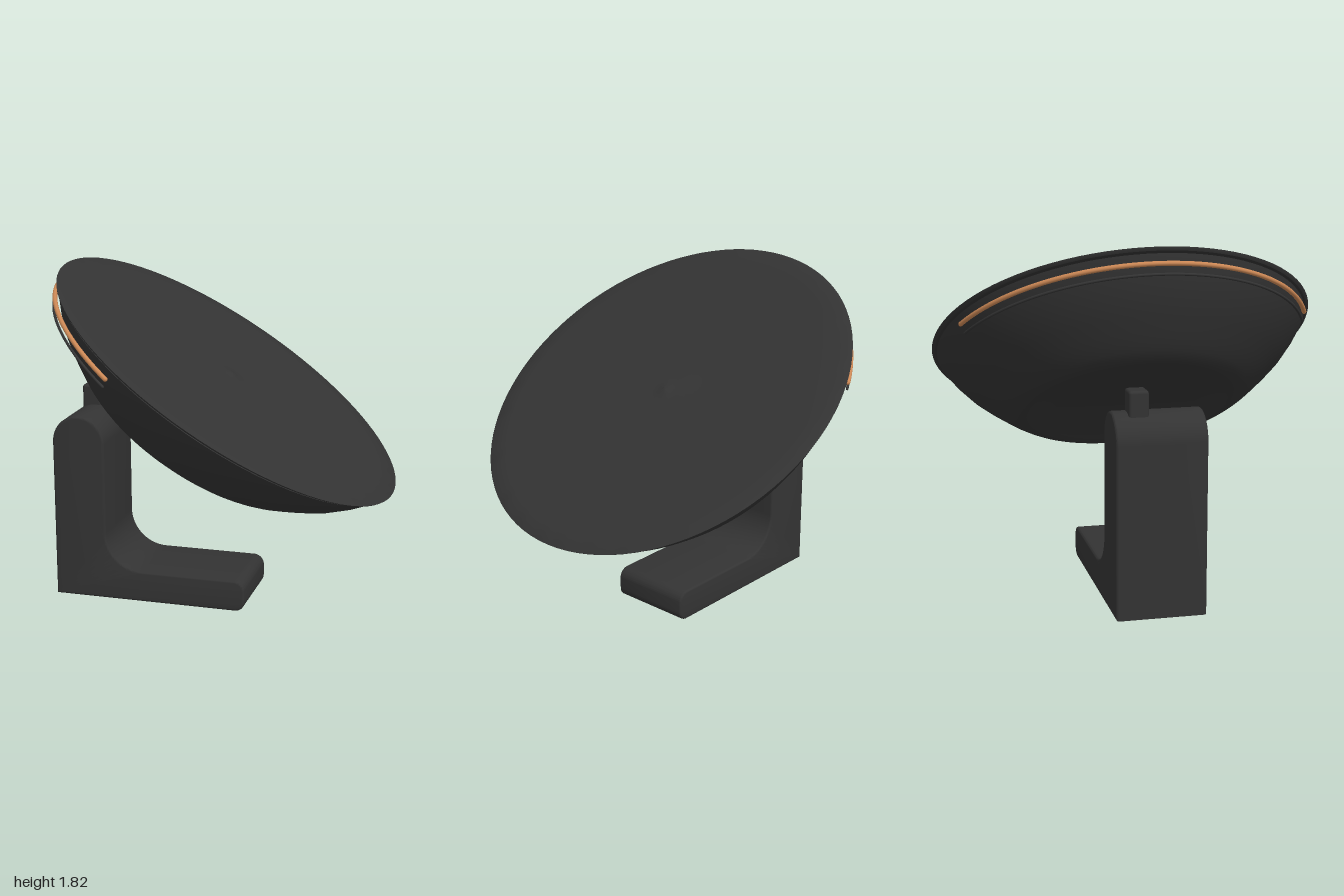
import * as THREE from 'three';
import { toCreasedNormals } from 'three/addons/utils/BufferGeometryUtils.js';
import { RoundedBoxGeometry } from 'three/addons/geometries/RoundedBoxGeometry.js';

export function createModel() {
  const charcoal = new THREE.MeshStandardMaterial({ color: 0x333333 });
  charcoal.name = 'charcoal';
  const copper = new THREE.MeshStandardMaterial({ color: 0xcc8855 });
  copper.name = 'copper';

  const model = new THREE.Group();
  model.name = 'dishOnStand';

  const add = (parent, name, geometry, material) => {
    const mesh = new THREE.Mesh(geometry, material);
    mesh.name = name;
    parent.add(mesh);
    return mesh;
  };
  const lathe = (points) => toCreasedNormals(
    new THREE.LatheGeometry(points.map(([r, y]) => new THREE.Vector2(r, y)), 96), 0.6);

  // Tilted dish, slightly longer along the slope than across it
  const dish = new THREE.Group();
  dish.name = 'dish';
  dish.position.set(0.024, 1.2415, 0);
  dish.rotation.z = -0.578;
  dish.scale.set(1.056, 1, 1);
  model.add(dish);

  // Thin lid with a small raised centre, floating just above the bowl
  add(dish, 'lid', lathe([
    [0, -0.013], [0.985, -0.013], [0.998, -0.004], [1, 0], [0.995, 0.003],
    [0.9, 0.006], [0.5, 0.009], [0.08, 0.011], [0.03, 0.013], [0.012, 0.02], [0, 0.021],
  ]), charcoal);

  // Bowl with a rounded shoulder and a shallow recess underneath
  add(dish, 'bowl', lathe([
    [0, -0.355], [0.38, -0.357], [0.46, -0.368], [0.51, -0.386], [0.535, -0.393],
    [0.565, -0.392], [0.6, -0.381], [0.632, -0.363], [0.67, -0.338], [0.715, -0.303],
    [0.78, -0.25], [0.85, -0.187], [0.92, -0.105], [0.962, -0.045], [0.975, -0.021], [0, -0.021],
  ]), charcoal);

  // Trim arcs wrapping the raised side of the bowl
  const arc = (name, radius, tube, y, material) => {
    const sweep = 2.33;
    const g = new THREE.TorusGeometry(radius, tube, 10, 72, sweep);
    g.rotateZ(Math.PI - sweep / 2).rotateX(Math.PI / 2);
    add(dish, name, g, material).position.y = y;
    // Closed ends
    for (const s of [-1, 1]) {
      const a = Math.PI + s * sweep / 2;
      const cap = add(dish, name + 'End', new THREE.SphereGeometry(tube, 10, 8), material);
      cap.position.set(radius * Math.cos(a), y, radius * Math.sin(a));
    }
  };
  arc('copperTrim', 0.97, 0.012, -0.072, copper);
  arc('darkTrim', 0.952, 0.007, -0.119, charcoal);

  // L-shaped stand: column with round top, filleted into a flat foot
  const b = 0.012;
  const left = -0.908 + b, right = -0.618 - b, foot = 0.17 - b, end = 0.16 - b;
  const r = (right - left) / 2;
  const profile = new THREE.Shape();
  profile.moveTo(left, b);
  profile.lineTo(end - 0.04, b);
  profile.absarc(end - 0.04, b + 0.04, 0.04, -Math.PI / 2, 0, false);
  profile.absarc(end - 0.045, foot - 0.045, 0.045, 0, Math.PI / 2, false);
  profile.absarc(right + 0.215, foot + 0.215, 0.215, -Math.PI / 2, -Math.PI, true);
  profile.absarc(left + r, 0.873, r, 0, Math.PI, false);
  const width = 0.456;
  const standGeo = new THREE.ExtrudeGeometry(profile, {
    depth: width - 2 * b, bevelThickness: b, bevelSize: b, bevelSegments: 3, curveSegments: 20,
  });
  standGeo.translate(0, 0, -width / 2 + b);
  add(model, 'stand', toCreasedNormals(standGeo, 0.6), charcoal);

  // Small peg on top of the column
  add(model, 'peg', new RoundedBoxGeometry(0.105, 0.2, 0.1, 3, 0.015), charcoal)
    .position.set(-0.783, 1.027, -0.1);

  return model;
}
